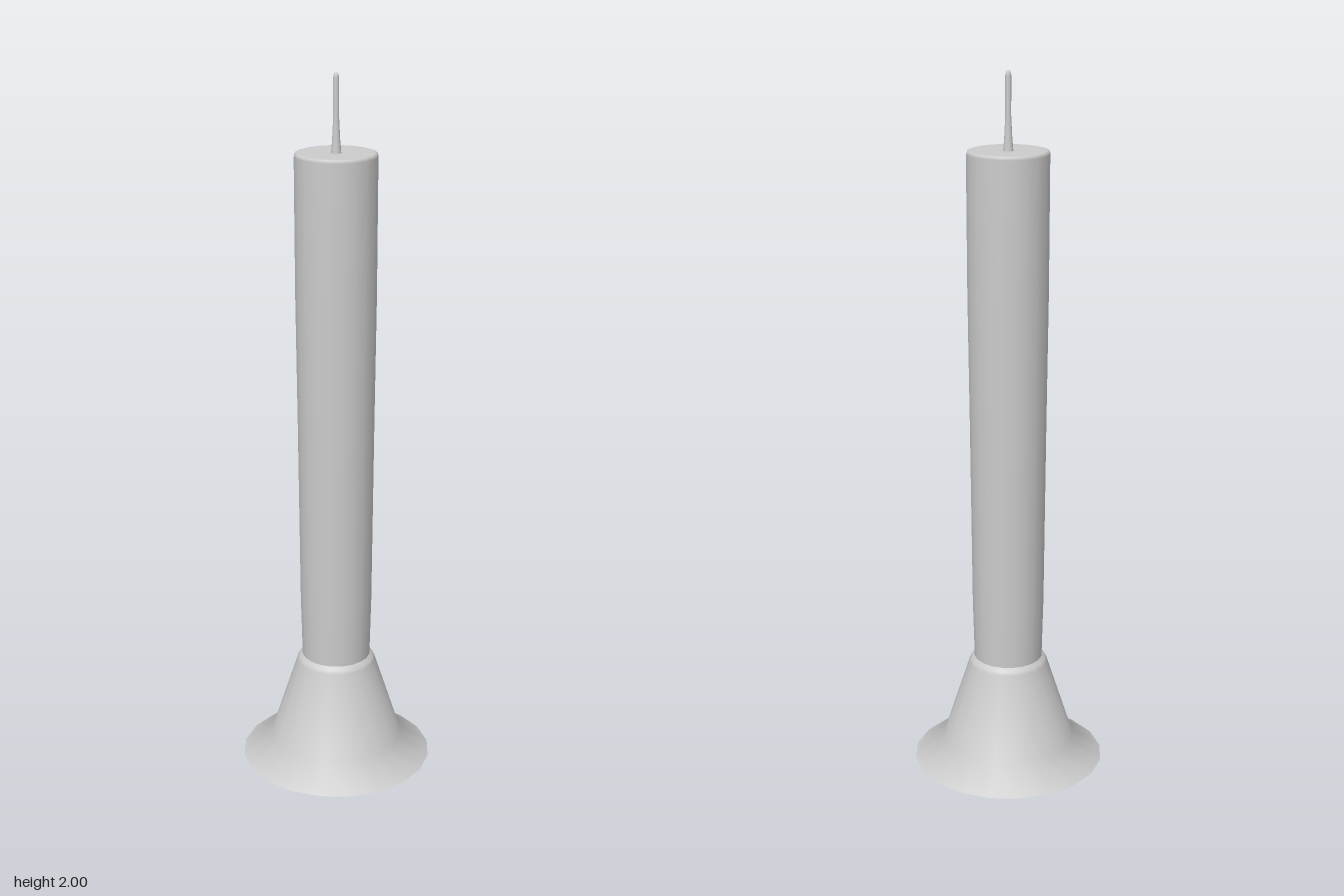
import * as THREE from 'three';

const SIDES = 20;

export function createModel() {
  const group = new THREE.Group();
  const material = new THREE.MeshStandardMaterial({ color: 0xcccccc });

  // Revolve a [radius, height] profile, listed from bottom to top
  function turned(name, profile, sides = SIDES) {
    const points = profile.map(([r, y]) => new THREE.Vector2(r, y));
    const mesh = new THREE.Mesh(new THREE.LatheGeometry(points, sides), material);
    mesh.name = name;
    group.add(mesh);
  }

  // Flared stand with a rounded lip closing in on the candle
  turned('stand', [[0.276, 0], [0.19, 0.063], [0.113, 0.303], [0.109, 0.312], [0.098, 0.322]]);

  // Flat underside
  turned('standBottom', [[0, 0], [0.276, 0]]);

  // Candle, slightly wider towards the top, with a softened rim
  turned('candle', [
    [0.098, 0.3], [0.103, 0.5], [0.108, 1.05], [0.112, 1.4],
    [0.113, 1.78], [0.11, 1.788], [0.104, 1.79], [0.028, 1.79], [0.012, 1.788],
  ]);

  // Wick rising from the candle top, narrowing to a rounded tip
  turned('wick', [
    [0.014, 1.786], [0.011, 1.82], [0.008, 1.88],
    [0.008, 1.985], [0.006, 1.995], [0, 2],
  ], 12);

  return group;
}
